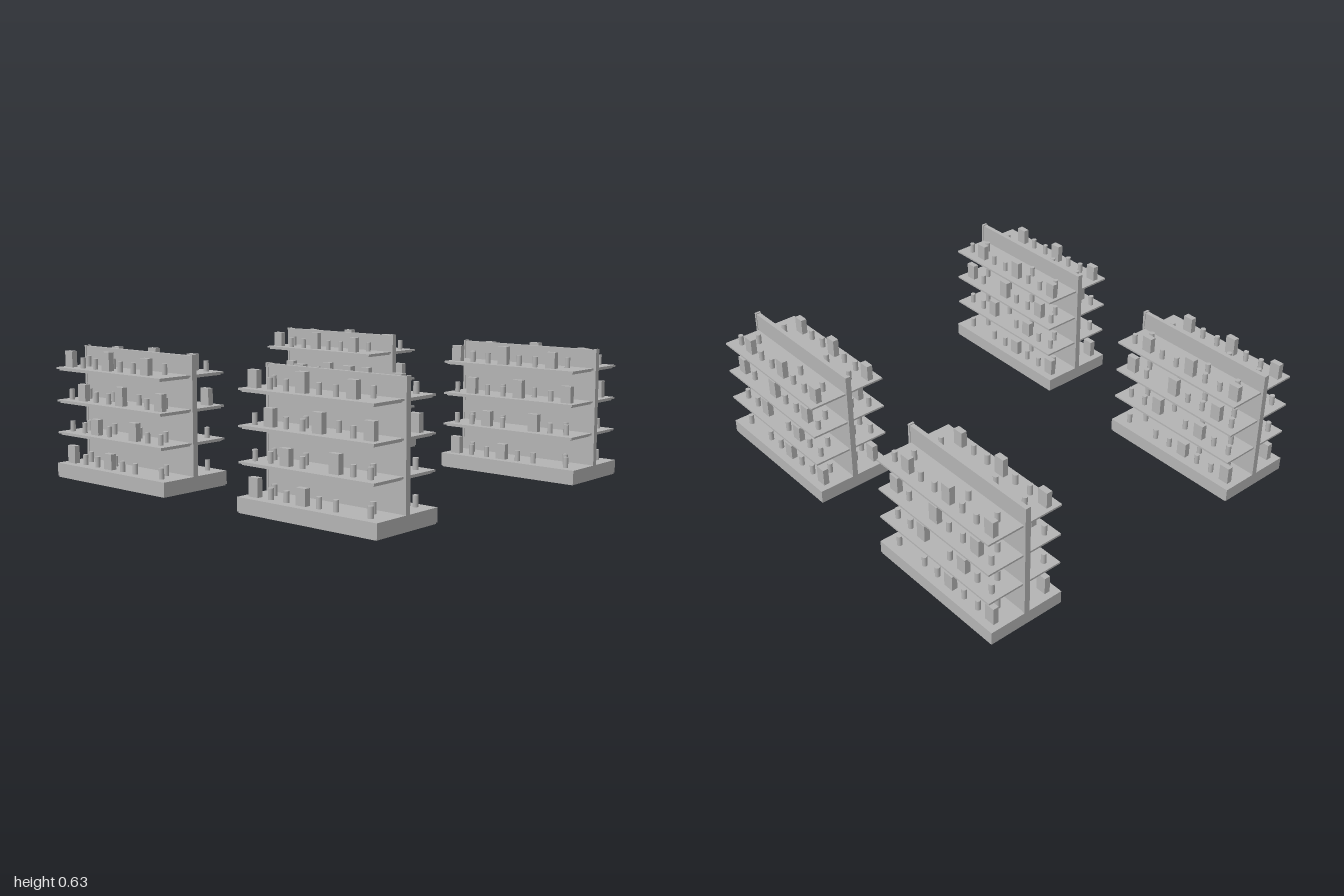
import * as THREE from 'three';

const grey = new THREE.MeshStandardMaterial({ color: 0xb4b4b4 });
grey.name = 'painted grey';

const WIDTH = 0.394, LENGTH = 0.768;
const SLOT_START = -0.325, SLOT_PITCH = 0.0907;

// Goods on each level: slot numbers along the shelf, tall boxes as [slot, height]
const LEVELS = [
  { y: 0.07, boxes: [[0, 0.085], [3, 0.075]], outer: [1, 2, 4, 5, 7], inner: [0.5, 2.5, 6.5] },
  { y: 0.225, boxes: [[2, 0.075], [5, 0.085]], outer: [0, 1, 3, 6, 7], inner: [0.5, 2.5, 4.5, 6.5] },
  { y: 0.38, boxes: [[1, 0.08], [4, 0.088], [7, 0.08]], outer: [0, 2, 3, 6], inner: [0.5, 2.5, 4.5, 6.5] },
  { y: 0.537, boxes: [[0, 0.077], [3, 0.088], [6, 0.077]], outer: [1, 2, 4, 5, 7], inner: [0.5, 2.5, 6.5] },
];

const canGeometry = new THREE.CylinderGeometry(0.0125, 0.0125, 0.05, 12);

function box(parent, name, w, h, d, x, bottom, z) {
  const mesh = new THREE.Mesh(new THREE.BoxGeometry(w, h, d), grey);
  mesh.name = name;
  mesh.position.set(x, bottom + h / 2, z);
  parent.add(mesh);
}

function can(parent, x, bottom, z) {
  const mesh = new THREE.Mesh(canGeometry, grey);
  mesh.name = 'can';
  mesh.position.set(x, bottom + 0.025, z);
  parent.add(mesh);
}

function shelfUnit() {
  const unit = new THREE.Group();
  unit.name = 'shelfUnit';

  // Plinth on a slightly inset foot
  box(unit, 'baseFoot', WIDTH - 0.01, 0.007, LENGTH - 0.01, 0, 0, 0);
  box(unit, 'base', WIDTH - 0.004, 0.063, LENGTH, 0, 0.007, 0);

  // Central panel with an upright at each end
  box(unit, 'backPanel', 0.022, 0.555, LENGTH - 0.02, 0, 0.07, 0);
  for (const s of [-1, 1]) {
    box(unit, 'upright', 0.028, 0.559, 0.012, 0, 0.07, s * (LENGTH / 2 - 0.006));
  }

  const slotZ = (slot) => SLOT_START + slot * SLOT_PITCH;
  LEVELS.forEach((level, i) => {
    for (const side of [-1, 1]) {
      // Shelf board with a narrower stiffener beneath
      if (i > 0) {
        box(unit, 'shelf', WIDTH / 2, 0.009, LENGTH - 0.028, side * WIDTH / 4, level.y - 0.009, 0);
        box(unit, 'shelfStiffener', WIDTH / 2 - 0.01, 0.007, LENGTH - 0.05,
          side * (WIDTH / 4 - 0.005), level.y - 0.016, 0);
      }
      // Goods in an outer and an inner row
      for (const [slot, height] of level.boxes) {
        box(unit, 'carton', 0.029, height, 0.053, side * 0.143, level.y, slotZ(slot));
      }
      for (const slot of level.outer) {
        if (i === 3 && side < 0 && slot === 7) continue;
        can(unit, side * 0.143, level.y, slotZ(slot));
      }
      for (const slot of level.inner) can(unit, side * 0.073, level.y, slotZ(slot));
    }
  });
  return unit;
}

export function createModel() {
  const model = new THREE.Group();
  model.name = 'storeShelves';
  for (const x of [-0.725, 0.725]) {
    for (const z of [-0.616, 0.616]) {
      const unit = shelfUnit();
      unit.position.set(x, 0, z);
      model.add(unit);
    }
  }
  return model;
}
